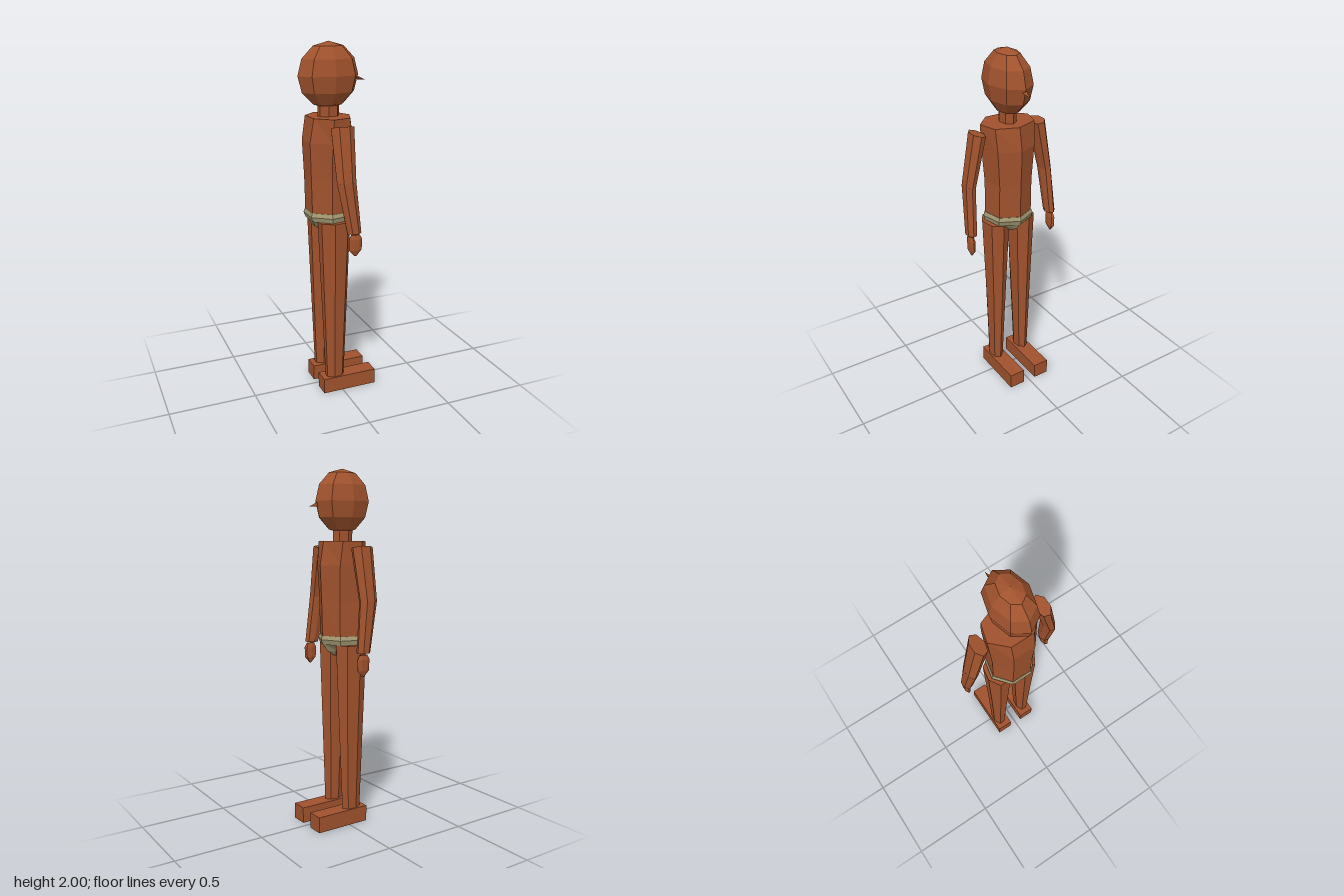
import * as THREE from 'three';

const skin = new THREE.MeshStandardMaterial({ color: 0xa0522d, flatShading: true });
skin.name = 'brown skin';
const cloth = new THREE.MeshStandardMaterial({ color: 0xa39872, flatShading: true });
cloth.name = 'khaki cloth';

const SIDES = 7;

// Seven-sided loft through elliptical rings [x, y, z, rx, rz], listed top to bottom.
// phase turns the first corner away from +x, tilt raises the +z side of each ring,
// side = -1 mirrors the part in z.
function loft(rings, { phase = 0, tilt = 0, side = 1 } = {}) {
  const pos = [], index = [];
  const tri = (a, b, c) => (side > 0 ? index.push(a, b, c) : index.push(a, c, b));
  for (const [x, y, z, rx, rz] of rings) {
    for (let i = 0; i < SIDES; i++) {
      const a = phase + (i / SIDES) * Math.PI * 2;
      const dz = Math.sin(a) * rz;
      pos.push(x + Math.cos(a) * rx, y + dz * tilt, (z + dz) * side);
    }
  }
  for (let r = 0; r < rings.length - 1; r++) {
    for (let i = 0; i < SIDES; i++) {
      const j = (i + 1) % SIDES, a = r * SIDES, b = a + SIDES;
      tri(a + i, a + j, b + i);
      tri(a + j, b + j, b + i);
    }
  }
  // End caps
  const last = (rings.length - 1) * SIDES;
  for (let i = 1; i < SIDES - 1; i++) {
    tri(0, i + 1, i);
    tri(last, last + i, last + i + 1);
  }
  const g = new THREE.BufferGeometry();
  g.setAttribute('position', new THREE.Float32BufferAttribute(pos, 3));
  g.setIndex(index);
  g.computeVertexNormals();
  return g;
}

export function createModel() {
  const group = new THREE.Group();
  const add = (name, geometry, material = skin) => {
    const mesh = new THREE.Mesh(geometry, material);
    mesh.name = name;
    group.add(mesh);
    return mesh;
  };
  const cx = -0.035;

  // Head: narrow faceted ellipsoid
  const head = add('head', new THREE.SphereGeometry(1, 8, 6));
  head.scale.set(0.173, 0.175, 0.115);
  head.position.set(cx, 1.825, 0);

  // Nose: three-sided spike pointing forward and slightly down
  const nose = new THREE.ConeGeometry(0.018, 0.075, 3);
  nose.rotateZ(-Math.PI / 2 - 0.28);
  nose.translate(0.144, 1.802, 0);
  add('nose', nose);

  add('neck', loft([
    [cx, 1.68, 0, 0.062, 0.043],
    [cx, 1.6, 0, 0.062, 0.043],
  ]));

  add('torso', loft([
    [cx, 1.61, 0, 0.122, 0.155],
    [cx, 1.48, 0, 0.145, 0.147],
    [cx, 1.28, 0, 0.136, 0.131],
    [cx, 1.08, 0, 0.131, 0.132],
  ]));

  // Briefs: bevelled waistband and tapering seat
  add('waistband', loft([
    [cx, 1.09, 0, 0.133, 0.134],
    [cx, 1.068, 0, 0.141, 0.143],
    [cx, 1.04, 0, 0.13, 0.135],
  ]), cloth);
  add('briefs', loft([
    [cx, 1.045, 0, 0.13, 0.125],
    [cx, 1.0, 0, 0.1, 0.062],
    [cx, 0.97, 0, 0.05, 0.03],
  ]), cloth);

  for (const side of [1, -1]) {
    const label = side > 0 ? 'near' : 'far';

    add(label + 'Leg', loft([
      [cx, 1.04, 0.083, 0.096, 0.073],
      [cx, 0.56, 0.086, 0.077, 0.053],
      [cx, 0.085, 0.09, 0.057, 0.037],
    ], { side }));

    const foot = add(label + 'Foot', new THREE.BoxGeometry(0.325, 0.09, 0.093));
    foot.position.set(0.045, 0.045, 0.086 * side);

    // Arms hang outward, with the forearm swung slightly forward
    const phase = -Math.PI / 2;
    add(label + 'UpperArm', loft([
      [cx, 1.577, 0.187, 0.067, 0.039],
      [cx, 1.29, 0.246, 0.056, 0.031],
    ], { phase, tilt: 0.2, side }));
    add(label + 'Forearm', loft([
      [cx, 1.295, 0.246, 0.056, 0.031],
      [0.005, 1.018, 0.261, 0.041, 0.03],
    ], { phase, tilt: 0.06, side }));
    add(label + 'Hand', loft([
      [0.01, 1.01, 0.266, 0.026, 0.01],
      [0.01, 0.985, 0.266, 0.04, 0.017],
      [0.01, 0.925, 0.266, 0.038, 0.016],
      [0.012, 0.89, 0.266, 0.006, 0.003],
    ], { phase, side }));
  }
  return group;
}
